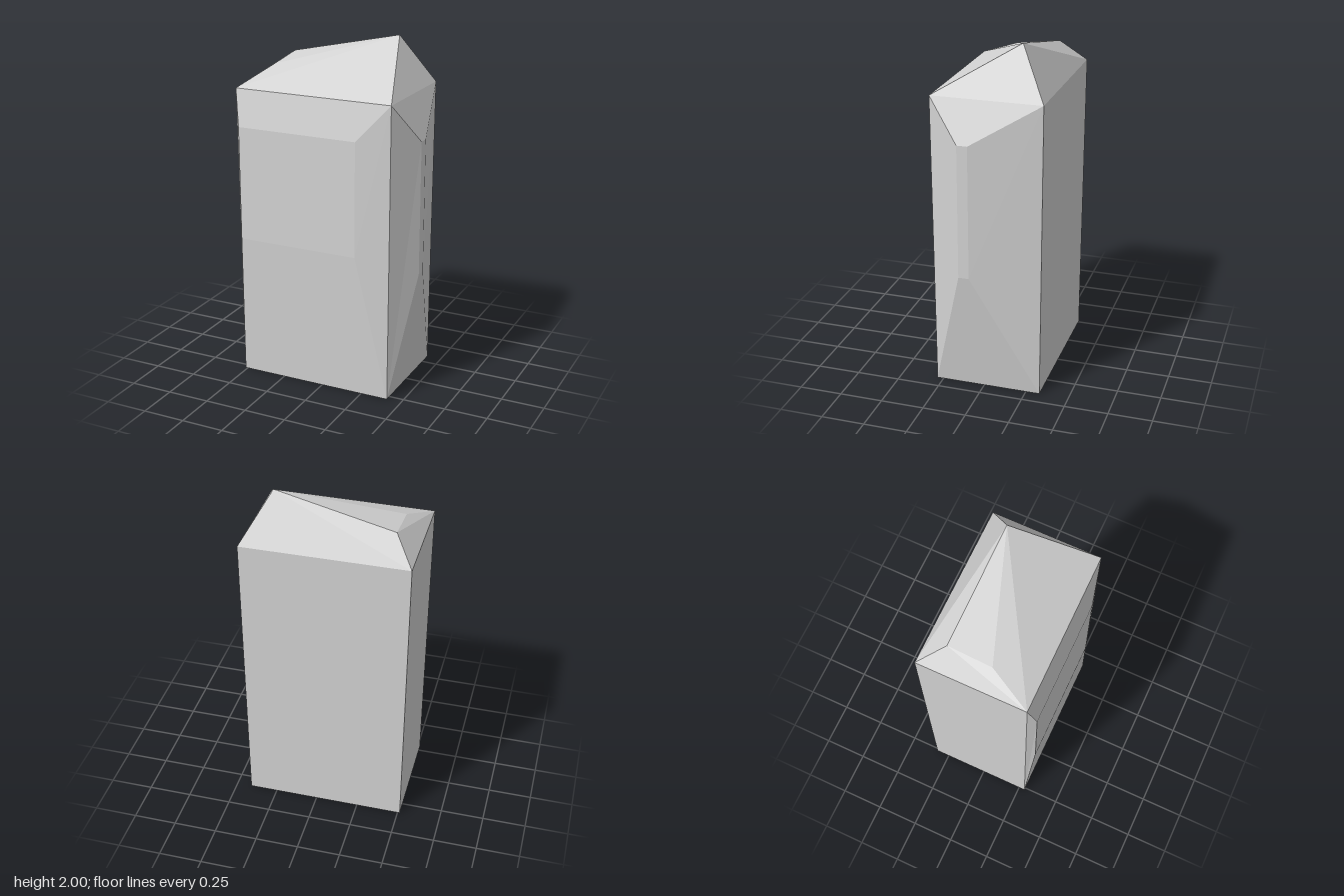
import * as THREE from 'three';

// Flat-faced geometry from convex polygons, each counter-clockwise from outside
function facets(polygons) {
  const positions = [];
  for (const p of polygons) {
    for (let i = 1; i < p.length - 1; i++) positions.push(...p[0], ...p[i], ...p[i + 1]);
  }
  const geometry = new THREE.BufferGeometry();
  geometry.setAttribute('position', new THREE.Float32BufferAttribute(positions, 3));
  geometry.computeVertexNormals();
  return geometry;
}

// A raised inner quad joined to the outer quad by four chamfers
function raisedSide(outer, inner) {
  const chamfers = outer.map((corner, i) => {
    const j = (i + 1) % 4;
    return [outer[j], inner[j], inner[i], corner];
  });
  return [inner, ...chamfers];
}

export function createModel() {
  const stone = new THREE.MeshStandardMaterial({ color: 0xd3d3d3, flatShading: true });
  stone.name = 'light grey stone';
  const group = new THREE.Group();
  group.name = 'rockPillar';

  // Corner rings: front left, front right, back right, back left in plan
  const ring = (x0, x1, z0, z1, y) => [[x0, y, z1], [x1, y, z1], [x1, y, z0], [x0, y, z0]];
  const base = ring(-0.513, 0.412, -0.33, 0.287, 0);
  const shoulder = ring(-0.52, 0.42, -0.338, 0.295, 1.72);
  const side = (i) => {
    const j = (i + 1) % 4;
    return [base[i], base[j], shoulder[j], shoulder[i]];
  };

  // Raised panels on the front and the +x side
  const frontPanel = [[-0.485, 0.85, 0.338], [0.23, 0.85, 0.338], [0.23, 1.51, 0.338], [-0.485, 1.51, 0.338]];
  const sidePanel = [[0.52, 0.72, 0.11], [0.52, 0.72, 0.05], [0.52, 1.49, 0.05], [0.52, 1.49, 0.11]];

  // Slanted crown rising to a single peak
  const [fl, fr, br, bl] = shoulder;
  const peak = [0.26, 2, -0.178];
  const ridgeFront = [-0.408, 1.82, 0.052];
  const ridgeBack = [-0.408, 1.852, -0.2];
  const crown = [
    [fl, fr, peak], [fl, peak, ridgeFront], [ridgeFront, peak, ridgeBack],
    [fl, ridgeFront, ridgeBack, bl], [bl, ridgeBack, peak], [bl, peak, br], [br, peak, fr],
  ];

  const parts = {
    frontFace: raisedSide(side(0), frontPanel),
    leftFace: raisedSide(side(1), sidePanel),
    backFace: [side(2)],
    rightFace: [side(3)],
    crown,
    underside: [[...base].reverse()],
  };
  for (const [name, polygons] of Object.entries(parts)) {
    const mesh = new THREE.Mesh(facets(polygons), stone);
    mesh.name = name;
    group.add(mesh);
  }
  return group;
}
